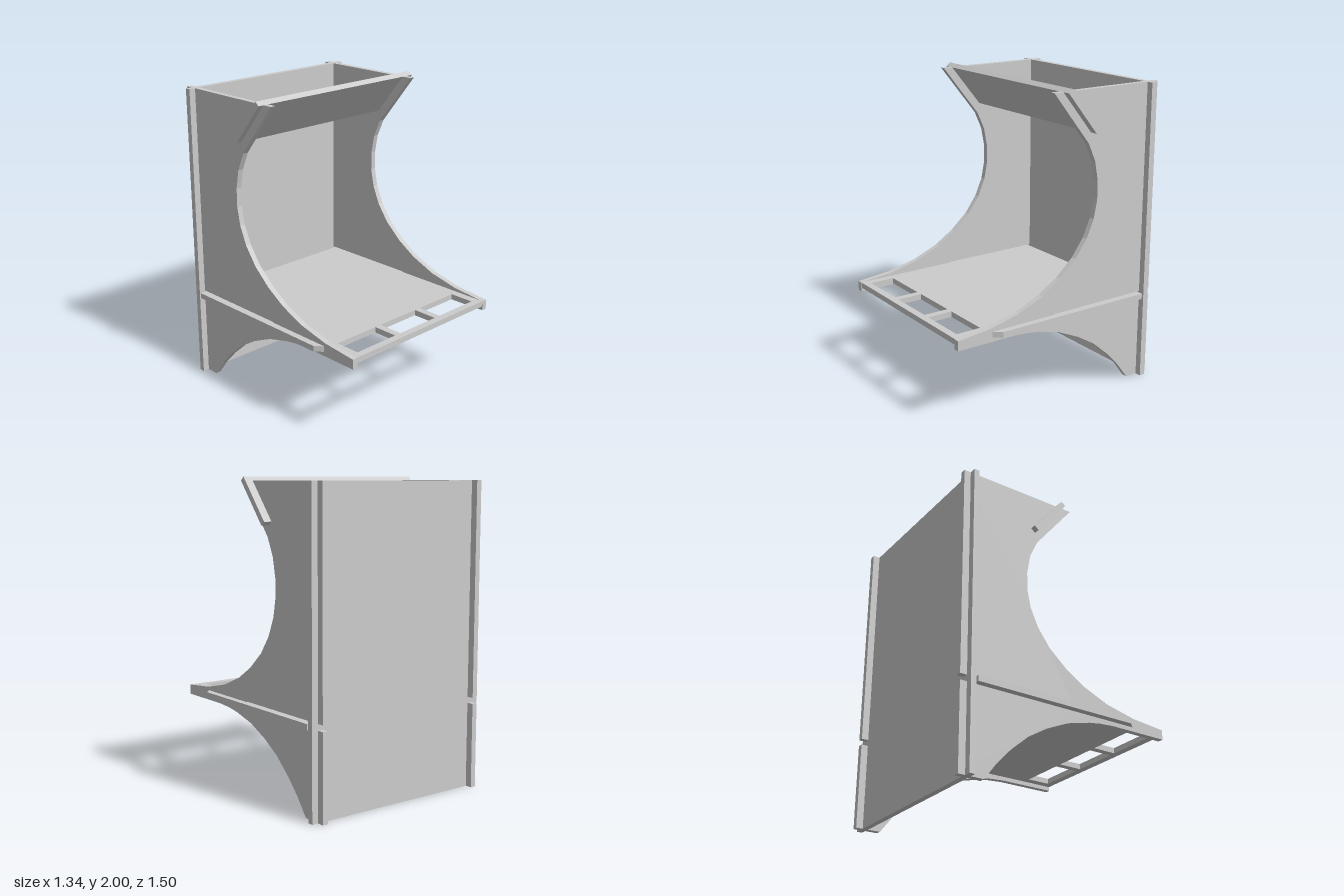
import * as THREE from 'three';

const T = 0.037; // board thickness

export function createModel() {
  const group = new THREE.Group();
  const material = new THREE.MeshStandardMaterial({ color: 0xcccccc, flatShading: true });

  const add = (name, geometry, x, y, z) => {
    const mesh = new THREE.Mesh(geometry, material);
    mesh.name = name;
    mesh.position.set(x, y, z);
    group.add(mesh);
    return mesh;
  };
  const outline = (points) => new THREE.Shape(points.map(([a, b]) => new THREE.Vector2(a, b)));
  const board = (shape) => new THREE.ExtrudeGeometry(shape, { depth: T, bevelEnabled: false });

  // Side panels: profile in (z, y), with a slot from the back that takes the shelf
  const profile = outline([
    [-0.75, 0], [-0.584, 0], [-0.5, 0.11], [-0.408, 0.208], [-0.286, 0.314], [-0.154, 0.394],
    [0, 0.463], [0.165, 0.505], [0.25, 0.518], [0.35, 0.525], [0.75, 0.525], [0.75, 0.589],
    [0.515, 0.612], [0.308, 0.66], [0.133, 0.733], [0, 0.817], [-0.122, 0.924], [-0.207, 1.04],
    [-0.26, 1.16], [-0.284, 1.28], [-0.284, 1.4], [-0.26, 1.525], [-0.207, 1.642],
    [0.063, 1.976], [-0.75, 1.976],
    [-0.75, 0.594], [0.04, 0.594], [0.04, 0.554], [-0.75, 0.554],
  ]);
  const sideGeometry = board(profile).rotateY(-Math.PI / 2).translate(T / 2, 0, 0);
  add('leftSidePanel', sideGeometry, 0.599, 0, 0);
  add('rightSidePanel', sideGeometry, -0.608, 0, 0);

  // Back board, standing through both side panels
  add('backBoard', new THREE.BoxGeometry(1.33, 1.976, T), -0.005, 0.988, -0.686);

  // Shelf: outline in (x, z), wide ears behind and three windows at the front
  const shelf = outline([
    [-0.67, -0.655], [0.66, -0.655], [0.66, 0.455], [0.617, 0.505],
    [0.617, 0.748], [-0.626, 0.748], [-0.626, 0.505], [-0.67, 0.455],
  ]);
  for (const [x0, x1] of [[-0.54, -0.213], [-0.167, 0.156], [0.203, 0.525]]) {
    shelf.holes.push(outline([[x0, 0.532], [x0, 0.7], [x1, 0.7], [x1, 0.532]]));
  }
  add('shelf', board(shelf).rotateX(Math.PI / 2), 0, 0.59, 0);

  // Tilted header board across the top front
  const header = add('headerBoard', new THREE.BoxGeometry(1.335, 0.343, T), 0.003, 1.855, -0.126);
  header.rotation.x = Math.atan2(0.218, 0.265);

  return group;
}
